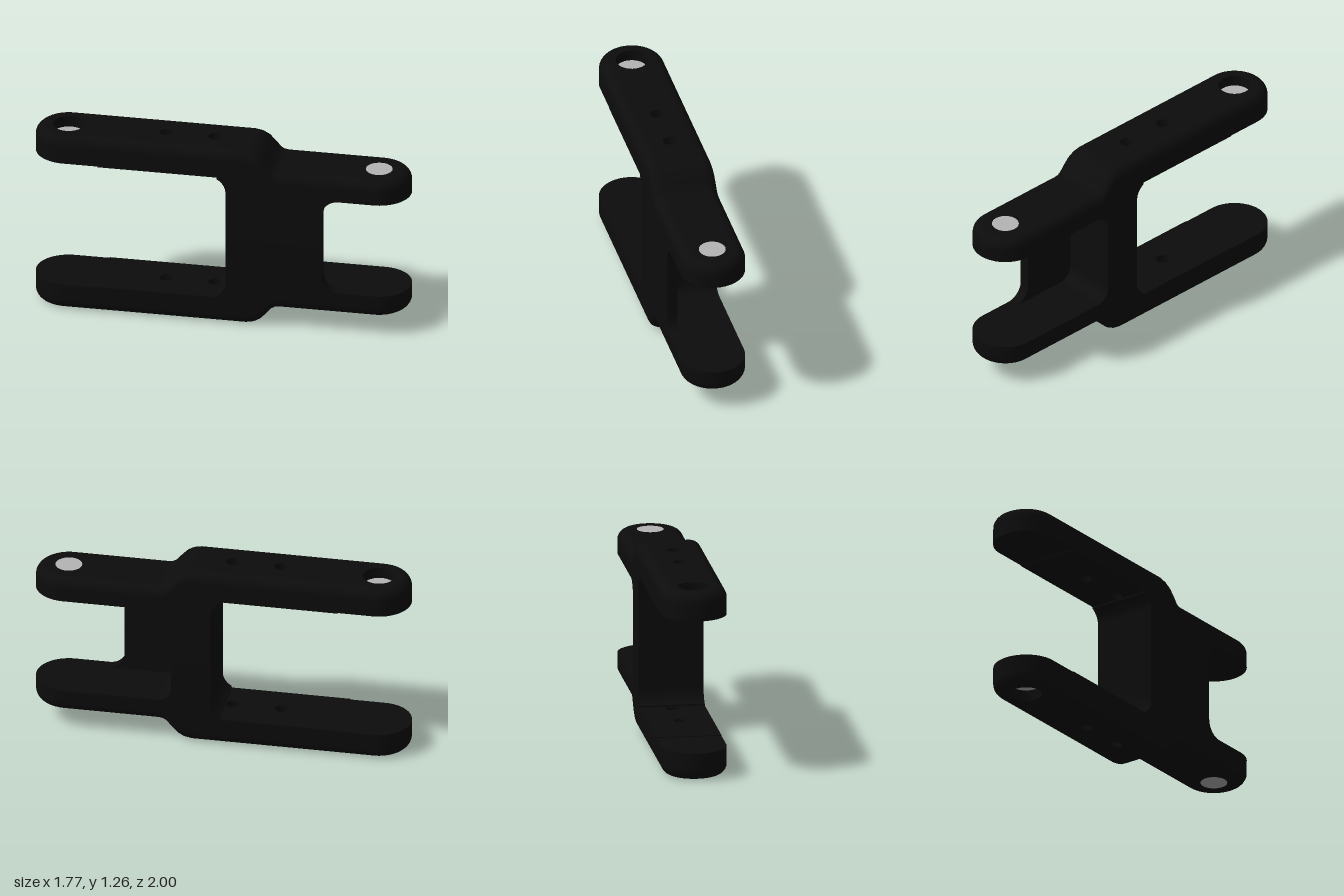
import * as THREE from 'three';
import { mergeGeometries, toCreasedNormals } from 'three/addons/utils/BufferGeometryUtils.js';

// Local frame: x runs along the link, y up, z across. The halves mirror at MID.
const R = 0.215, END = 1.032, ROUND = 0.07, INNER = R - ROUND, MID = 0.63;
const PLATE = 0.145;                       // inner face of the thin web plate
const BACK_HOLE = 0.105, FRONT_HOLE = 0.088, BOLT = 0.045, BORE = 0.075;
const BOLTS = [-0.383, -0.06];

// Outer height along the link, with the step down to the narrow fork
const TOP = [[-1.3, 1.26], [0.18, 1.26], [0.23, 1.25], [0.27, 1.228], [0.312, 1.185],
  [0.345, 1.145], [0.37, 1.13], [0.4, 1.125], [1.3, 1.125]];

function heightAt(profile, u) {
  for (let i = 1; i < profile.length; i++) {
    const [a, ya] = profile[i - 1], [b, yb] = profile[i];
    if (u <= b && b > a) return ya + (yb - ya) * (u - a) / (b - a);
  }
  return profile.at(-1)[1];
}

// Quarter-circle fillet points
function fillet(cu, cy, r, from, to, n = 8) {
  return Array.from({ length: n + 1 }, (_, i) => {
    const a = from + (to - from) * i / n;
    return [cu + r * Math.cos(a), cy + r * Math.sin(a)];
  });
}

// Inner heights: wide fork, web, then the narrow fork on each side
const backWall = [[-0.01, 1.07], ...fillet(-0.06, 0.96, 0.11, 1.09, 0), [0.05, MID]];
const recessWall = [[0.31, MID], ...fillet(0.4, 0.875, 0.09, Math.PI, Math.PI / 2)];
const plateWall = [[0.69, MID], ...fillet(0.8, 0.855, 0.11, Math.PI, Math.PI / 2)];
const backUnder = [[-END, 1.075], [-0.8, 1.075], [-0.8, 1.07], ...backWall];
const underRight = [...backUnder, ...recessWall, [END, 0.965]];
const underLeft = [...backUnder, ...plateWall, [END, 0.965]];

// Keep positions only, so that every piece can be merged
function plain(geo) {
  const g = geo.index ? geo.toNonIndexed() : geo;
  return new THREE.BufferGeometry().setAttribute('position', g.getAttribute('position'));
}

function flip(geo) {
  const g = plain(geo), p = g.getAttribute('position');
  for (let i = 0; i < p.count; i += 3) {
    const b = [p.getX(i + 1), p.getY(i + 1), p.getZ(i + 1)];
    p.setXYZ(i + 1, p.getX(i + 2), p.getY(i + 2), p.getZ(i + 2));
    p.setXYZ(i + 2, ...b);
  }
  return g;
}

function quads(list) {
  const v = [];
  for (const [a, b, c, d] of list) v.push(...a, ...b, ...c, ...a, ...c, ...d);
  return new THREE.BufferGeometry().setAttribute('position', new THREE.Float32BufferAttribute(v, 3));
}

// Ribbon following a profile between two z values, facing up
function strip(profile, z0, z1) {
  const list = [];
  for (let i = 1; i < profile.length; i++) {
    const [u0, y0] = profile[i - 1], [u1, y1] = profile[i];
    list.push([[u0, y0, z1], [u1, y1, z1], [u1, y1, z0], [u0, y0, z0]]);
  }
  return quads(list);
}

// Flat plan shape at height y, facing up or down, with round holes [u, r]
function flat(shape, y, up, holes = []) {
  for (const [u, r] of holes) shape.holes.push(new THREE.Path().absarc(u, 0, r, 0, Math.PI * 2, true));
  return plain(new THREE.ShapeGeometry(shape, 24).rotateX(up ? -Math.PI / 2 : Math.PI / 2).translate(0, y, 0));
}

function tongue(u0, uc, r) {
  const front = uc > u0;
  return new THREE.Shape().moveTo(u0, -r).lineTo(u0, r).lineTo(uc, r)
    .absarc(uc, 0, r, Math.PI / 2, front ? -Math.PI / 2 : Math.PI * 1.5, front);
}

function polygon(points) {
  return new THREE.Shape(points.map(([x, y]) => new THREE.Vector2(x, y)));
}

// Rounded rim and side wall around the whole outline
function rim() {
  const side = (profile, s) => [...profile,
    ...TOP.slice(1, -1).map(([u]) => [u, heightAt(profile, u)])]
    .sort((a, b) => a[0] - b[0]).map(([u, b]) => ({ u, w: s * R, nu: 0, nw: s, b }));
  const end = (s, b) => Array.from({ length: 31 }, (_, i) => {
    const a = Math.PI / 2 - Math.PI * (i + 1) / 32;
    const nu = s * Math.cos(a), nw = s * Math.sin(a);
    return { u: s * END + R * nu, w: R * nw, nu, nw, b };
  });
  const outline = [...side(underLeft, 1), ...end(1, 0.965),
    ...side(underRight, -1).reverse(), ...end(-1, 1.075)];
  const sections = outline.map(({ u, w, nu, nw, b }) => {
    const top = heightAt(TOP, u), pts = [];
    for (let j = 0; j <= 7; j++) {
      const a = Math.PI / 2 * j / 7, inset = ROUND * (1 - Math.sin(a));
      pts.push([u - nu * inset, top - ROUND * (1 - Math.cos(a)), w - nw * inset]);
    }
    pts.push([u, b, w]);
    return pts;
  });
  const list = [];
  sections.forEach((s, i) => {
    const n = sections[(i + 1) % sections.length];
    for (let j = 0; j + 1 < s.length; j++) list.push([s[j + 1], n[j + 1], n[j], s[j]]);
  });
  return quads(list);
}

function bore(u, r, y0, y1) {
  return flip(new THREE.CylinderGeometry(r, r, y1 - y0, 32, 1, true).translate(u, (y0 + y1) / 2, 0));
}

function halfBody() {
  const bolts = BOLTS.map(u => [u, BOLT]);
  const webFace = polygon([...recessWall, ...[...plateWall].reverse()]);
  return mergeGeometries([
    rim(),
    // outer faces
    flat(tongue(0.18, -END, INNER), 1.26, true, [...bolts, [-END, BACK_HOLE]]),
    strip(TOP.slice(1, -1), -INNER, INNER),
    flat(tongue(0.4, END, INNER), 1.125, true, [[END, FRONT_HOLE]]),
    // inner faces of the wide fork
    flat(tongue(-0.8, -END, R), 1.075, false),
    flip(strip([[-0.8, 1.075], [-0.8, 1.07]], -R, R)),
    flat(polygon([[-0.8, -R], [-0.01, -R], [-0.01, R], [-0.8, R]]), 1.07, false, bolts),
    flip(strip(backWall, -R, R)),
    // inner faces of the narrow fork and the web plate
    flip(strip([...recessWall, [END, 0.965]], -R, PLATE)),
    flip(strip([...plateWall, [END, 0.965]], PLATE, R)),
    flip(new THREE.ShapeGeometry(webFace).translate(0, 0, PLATE)),
    flat(tongue(END, END + 0.0001, R), 0.965, false),
    // hole walls
    ...BOLTS.map(u => bore(u, BOLT, 1.07, 1.26)),
    bore(-END, BACK_HOLE, 1.26 - BORE, 1.26),
  ].map(plain));
}

function disc(u, r, y) {
  return plain(new THREE.CircleGeometry(r, 32).rotateX(-Math.PI / 2).translate(u, y, 0));
}

export function createModel() {
  const black = new THREE.MeshStandardMaterial({ color: 0x0c0c0c, side: THREE.DoubleSide });
  black.name = 'black';
  const grey = new THREE.MeshStandardMaterial({ color: 0xb4b4b4, side: THREE.DoubleSide });
  grey.name = 'grey';

  const model = new THREE.Group();
  model.name = 'forkedLink';
  model.rotation.y = -Math.atan2(0.785, 0.67);

  const parts = [
    ['Body', halfBody(), black],
    ['WideForkPin', disc(-END, BACK_HOLE, 1.26 - BORE), grey],
    ['NarrowForkPin', disc(END, FRONT_HOLE, 1.125), grey],
  ];
  for (const [name, geo, material] of parts) {
    const mirrored = flip(geo.clone().scale(1, -1, 1).translate(0, 2 * MID, 0));
    for (const [half, g] of [['upper', geo], ['lower', mirrored]]) {
      const mesh = new THREE.Mesh(toCreasedNormals(g, 0.5), material);
      mesh.name = half + name;
      model.add(mesh);
    }
  }
  const root = new THREE.Group();
  root.name = 'model';
  root.add(model);
  return root;
}
